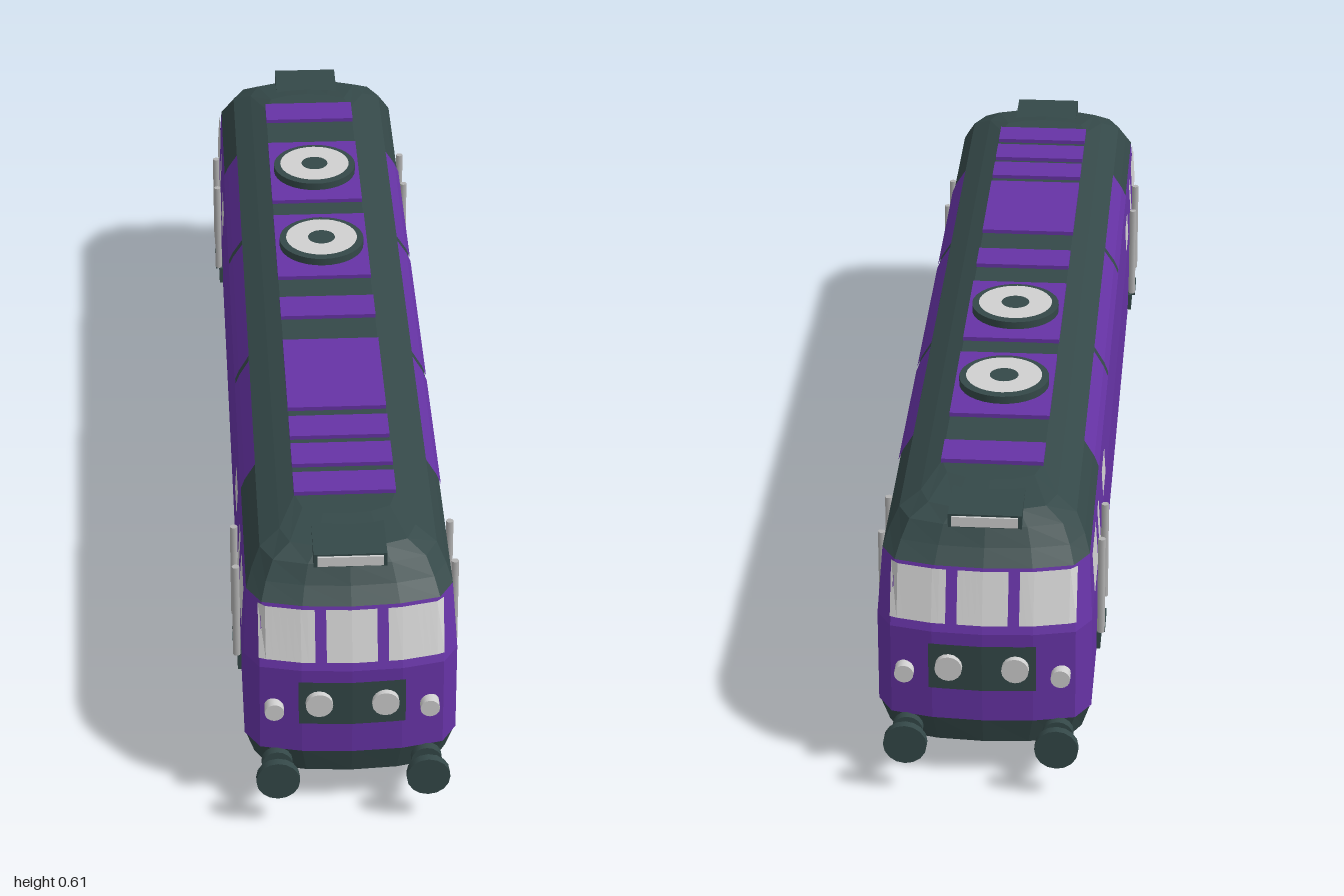
import * as THREE from 'three';

const purple = new THREE.MeshStandardMaterial({ color: 0x6633a5 });
const dark = new THREE.MeshStandardMaterial({ color: 0x344848 });
const pale = new THREE.MeshStandardMaterial({ color: 0xd0d0d0 });
const grey = new THREE.MeshStandardMaterial({ color: 0xb2b2b2 });
purple.name = 'purple paint';
dark.name = 'dark slate';
pale.name = 'pale glass';
grey.name = 'grey metal';

// Body levels: height, half width, half length
const LEVELS = [
  [0.145, 0.22, 1.16], [0.35, 0.22, 1.16], [0.48, 0.212, 1.115], [0.51, 0.2, 1.085],
  [0.545, 0.182, 1.06], [0.568, 0.14, 1.03], [0.583, 0.105, 0.93],
];

function sizeAt(y) {
  let i = 0;
  while (i < LEVELS.length - 2 && y > LEVELS[i + 1][0]) i++;
  const a = LEVELS[i], b = LEVELS[i + 1], t = (y - a[0]) / (b[0] - a[0]);
  return [a[1] + (b[1] - a[1]) * t, a[2] + (b[2] - a[2]) * t];
}

// Plan of the bowed nose, running from +z to -z
function nose(y, W, E) {
  const q = [[E - 0.075, W], [E - 0.025, 0.86 * W], [E - 0.006, 0.47 * W]];
  return [...q.map(([x, z]) => [x, y, z]), [E, y, 0], ...q.reverse().map(([x, z]) => [x, y, -z])];
}
const bodyRing = ([y, W, E]) => {
  const half = nose(y, W, E);
  return [...half, ...half.map(([x, h, z]) => [-x, h, -z])];
};

// Nose surface position at a given z and height
function noseX(z, y) {
  const [W, E] = sizeAt(y);
  const p = nose(y, W, E), a = Math.min(Math.abs(z), W);
  for (let i = 0; i < 3; i++) {
    if (a >= p[i + 1][2]) {
      return p[i + 1][0] + (p[i][0] - p[i + 1][0]) * (a - p[i + 1][2]) / (p[i][2] - p[i + 1][2]);
    }
  }
  return E;
}

function flatGeometry(points, index) {
  const g = new THREE.BufferGeometry();
  g.setAttribute('position', new THREE.Float32BufferAttribute(points.flat(), 3));
  g.setIndex(index);
  const out = g.toNonIndexed();
  out.computeVertexNormals();
  return out;
}

// Skin over horizontal rings, with flat caps
function loft(rings) {
  const n = rings[0].length, idx = [], top = (rings.length - 1) * n;
  for (let r = 0; r < rings.length - 1; r++) {
    for (let i = 0; i < n; i++) {
      const a = r * n + i, b = r * n + (i + 1) % n;
      idx.push(a, b, a + n, b, b + n, a + n);
    }
  }
  for (let i = 1; i < n - 1; i++) idx.push(0, i + 1, i, top, top + i, top + i + 1);
  return flatGeometry(rings.flat(), idx);
}

// Thin painted plate following a surface function
function patch(fn, s0, s1, t0, t1, n = 1) {
  const pts = [], idx = [];
  for (let i = 0; i <= n; i++) {
    const s = s0 + (s1 - s0) * i / n;
    pts.push(fn(s, t0), fn(s, t1));
    if (i < n) idx.push(2 * i, 2 * i + 2, 2 * i + 1, 2 * i + 2, 2 * i + 3, 2 * i + 1);
  }
  return flatGeometry(pts, idx);
}
const onSide = (x, y) => [x, y, sizeAt(y)[0] + 0.005];
const onNose = (s, y) => [noseX(-s, y) + 0.006, y, -s];

function add(parent, name, geometry, material, x = 0, y = 0, z = 0) {
  const m = new THREE.Mesh(geometry, material);
  m.name = name;
  m.position.set(x, y, z);
  parent.add(m);
  return m;
}
const box = (w, h, d) => new THREE.BoxGeometry(w, h, d);
const rod = (r, length) => new THREE.CylinderGeometry(r, r, length, 16).rotateZ(Math.PI / 2);

// One cab end and one long side; used twice, turned by half a circle
function buildHalf() {
  const half = new THREE.Group();
  half.name = 'cabEndAndSide';

  // Skirt below the nose
  const skirt = (y, W, E, inner) => [[inner, y, W], ...nose(y, W, E), [inner, y, -W]];
  add(half, 'skirt', loft([skirt(0.085, 0.2, 1.145, 1.05), skirt(0.147, 0.219, 1.158, 0.99)]), dark);

  // Windscreens and lamp panel
  for (const [a, b] of [[-0.19, -0.075], [-0.052, 0.052], [0.075, 0.19]]) {
    add(half, 'windscreen', patch(onNose, a, b, 0.37, 0.476, 8), pale);
  }
  add(half, 'lampPanel', patch(onNose, -0.11, 0.11, 0.22, 0.325, 8), dark);

  // Lamps and buffers
  for (const s of [-1, 1]) {
    add(half, 'headlamp', rod(0.028, 0.03), pale, 1.16, 0.275, s * 0.068);
    add(half, 'markerLamp', rod(0.02, 0.03), pale, 1.15, 0.253, s * 0.16);
    add(half, 'bufferFlange', rod(0.032, 0.02), dark, 1.15, 0.115, s * 0.155);
    add(half, 'bufferShaft', rod(0.015, 0.08), dark, 1.17, 0.115, s * 0.155);
    add(half, 'bufferHead', rod(0.045, 0.018), dark, 1.206, 0.115, s * 0.155);
  }

  // Roof lamp box
  add(half, 'roofLampBox', box(0.12, 0.03, 0.15), dark, 1.01, 0.563, 0);
  add(half, 'roofLampGlass', box(0.006, 0.022, 0.135), pale, 1.072, 0.563, 0);

  // Roof side panels
  for (const [a, b] of [[-0.69, -0.274], [-0.253, 0.253], [0.274, 0.69]]) {
    add(half, 'roofSidePanel', patch((x, y) => onSide(x - Math.sign(x) * (y - 0.49) * 0.1, y), a, b, 0.488, 0.512), purple);
    add(half, 'roofSidePanel', patch((x, y) => onSide(x - Math.sign(x) * (y - 0.49) * 0.1, y), a, b, 0.512, 0.548), purple);
  }

  // Side windows, handrails and steps
  for (const s of [-1, 1]) {
    const sideWindow = (name, a, b, lo, hi) =>
      add(half, name, patch(onSide, Math.min(s * a, s * b), Math.max(s * a, s * b), lo, hi), pale);
    sideWindow('cabSideWindow', 0.9, 1.037, 0.382, 0.476);
    sideWindow('doorWindow', 0.79, 0.842, 0.365, 0.47);
    sideWindow('smallSideWindow', 0.55, 0.66, 0.4, 0.46);
    for (const x of [0.74, 0.888]) {
      add(half, 'handrail', new THREE.CylinderGeometry(0.008, 0.008, 0.225, 8), grey, s * x, 0.315, 0.23);
    }
    add(half, 'doorStep', box(0.11, 0.04, 0.02), dark, s * 0.812, 0.166, 0.218);
    add(half, 'stepTread', box(0.085, 0.008, 0.03), dark, s * 0.812, 0.184, 0.222);
  }
  return half;
}

export function createModel() {
  const model = new THREE.Group();
  model.name = 'locomotive';
  const loco = new THREE.Group();
  loco.name = 'locomotiveBody';
  loco.rotation.y = Math.PI / 4;
  model.add(loco);

  // Body shell and roof
  add(loco, 'bodyShell', loft(LEVELS.slice(0, 3).map(bodyRing)), purple);
  add(loco, 'roof', loft(LEVELS.slice(2).map(bodyRing)), dark);

  // Both ends and sides
  const front = buildHalf(), back = buildHalf();
  back.rotation.y = Math.PI;
  loco.add(front, back);

  // Raised roof panels
  const panels = [[-0.86, -0.785], [-0.755, -0.675], [-0.648, -0.568], [-0.535, -0.255],
    [-0.155, -0.07], [0.02, 0.305], [0.375, 0.662], [0.78, 0.865]];
  for (const [a, b] of panels) {
    add(loco, 'roofPanel', box(b - a, 0.022, 0.212), purple, (a + b) / 2, 0.581, 0);
  }

  // Roof fans
  for (const x of [0.163, 0.518]) {
    add(loco, 'fanHousing', new THREE.CylinderGeometry(0.097, 0.097, 0.03, 32), dark, x, 0.594, 0);
    add(loco, 'fanRing', new THREE.RingGeometry(0.031, 0.082, 32).rotateX(-Math.PI / 2), pale, x, 0.612, 0);
  }

  // Twin tank with a narrow recessed bridge
  const tank = (name, a, b, inset) => add(loco, name, loft([[0 + inset, 0.147], [0.1, 0.2], [0.15, 0.2]].map(([y, w]) => {
    const z = w - inset;
    return [[a, y, z], [b, y, z], [b, y, -z], [a, y, -z]];
  })), dark);
  tank('fuelTank', -0.412, -0.018, 0);
  tank('fuelTank', 0.018, 0.412, 0);
  tank('tankBridge', -0.02, 0.02, 0.02);

  return model;
}
